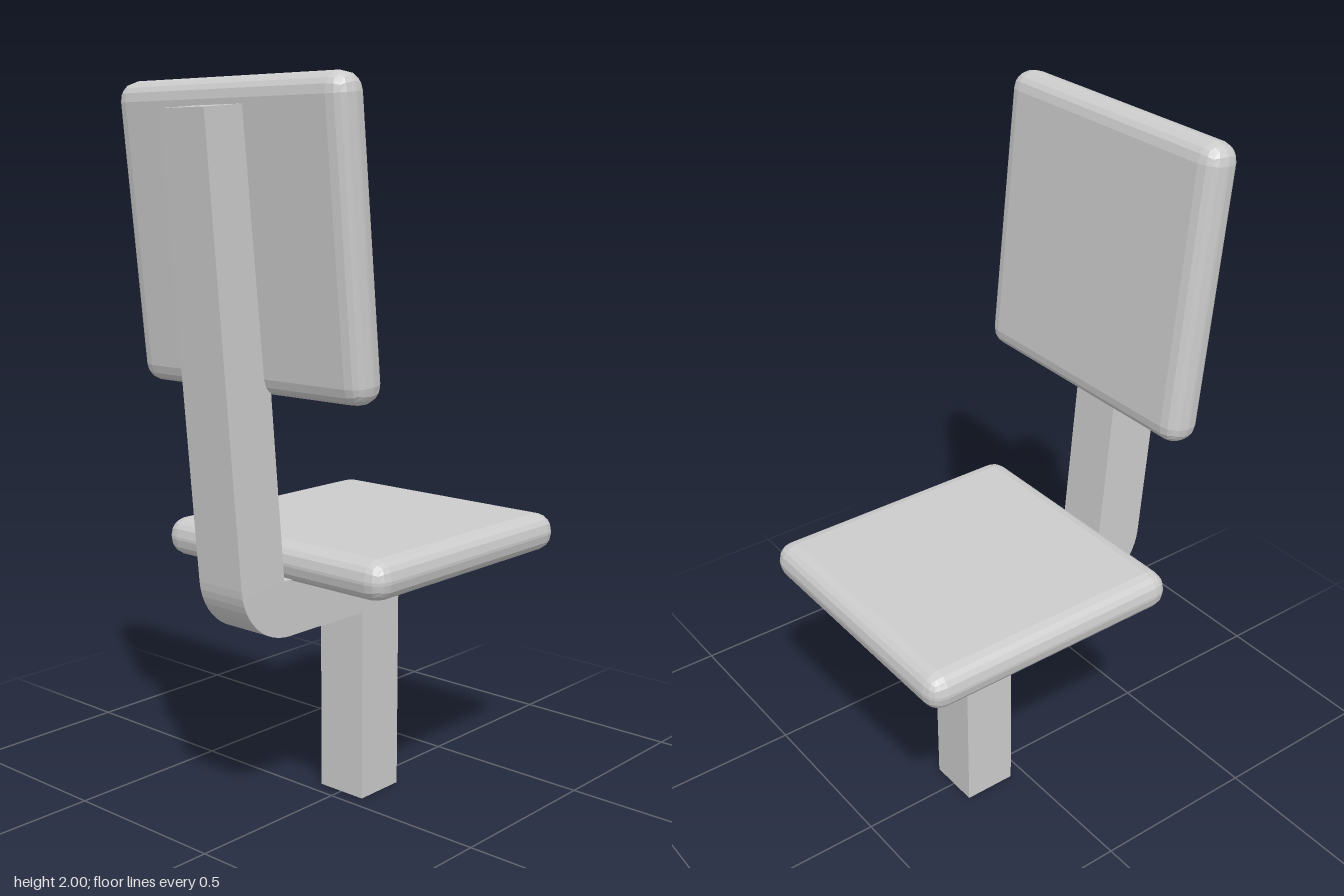
import * as THREE from 'three';
import { RoundedBoxGeometry } from 'three/addons/geometries/RoundedBoxGeometry.js';

export function createModel() {
  const group = new THREE.Group();
  const material = new THREE.MeshStandardMaterial({ color: 0xcccccc, flatShading: true });

  const add = (name, geometry, x, y, z, tilt = 0) => {
    const mesh = new THREE.Mesh(geometry, material);
    mesh.name = name;
    mesh.position.set(x, y, z);
    mesh.rotation.z = tilt;
    group.add(mesh);
  };

  // Square-section frame: post, horizontal arm, rounded bend and leaning upright
  const depth = 0.157;
  const profile = new THREE.Shape();
  profile.moveTo(0.043, 0);
  profile.lineTo(0.2, 0);
  profile.lineTo(0.2, 0.712);
  profile.lineTo(-0.272, 0.712);
  profile.lineTo(-0.379, 1.933);
  profile.lineTo(-0.535, 1.92);
  profile.lineTo(-0.429, 0.715);
  profile.bezierCurveTo(-0.42, 0.625, -0.345, 0.557, -0.25, 0.557);
  profile.lineTo(0.043, 0.557);
  profile.closePath();
  const frame = new THREE.ExtrudeGeometry(profile, { depth, bevelEnabled: false, curveSegments: 12 });
  add('frame', frame, 0, 0, -depth / 2);

  // Padded seat and backrest share one rounded slab shape
  const thickness = 0.108;
  add('seat', new RoundedBoxGeometry(0.795, thickness, 0.797, 2, 0.05), 0.132, 0.755, 0);
  add('backrest', new RoundedBoxGeometry(thickness, 0.795, 0.797, 2, 0.05), -0.322, 1.605, 0,
    THREE.MathUtils.degToRad(5.7));

  return group;
}
